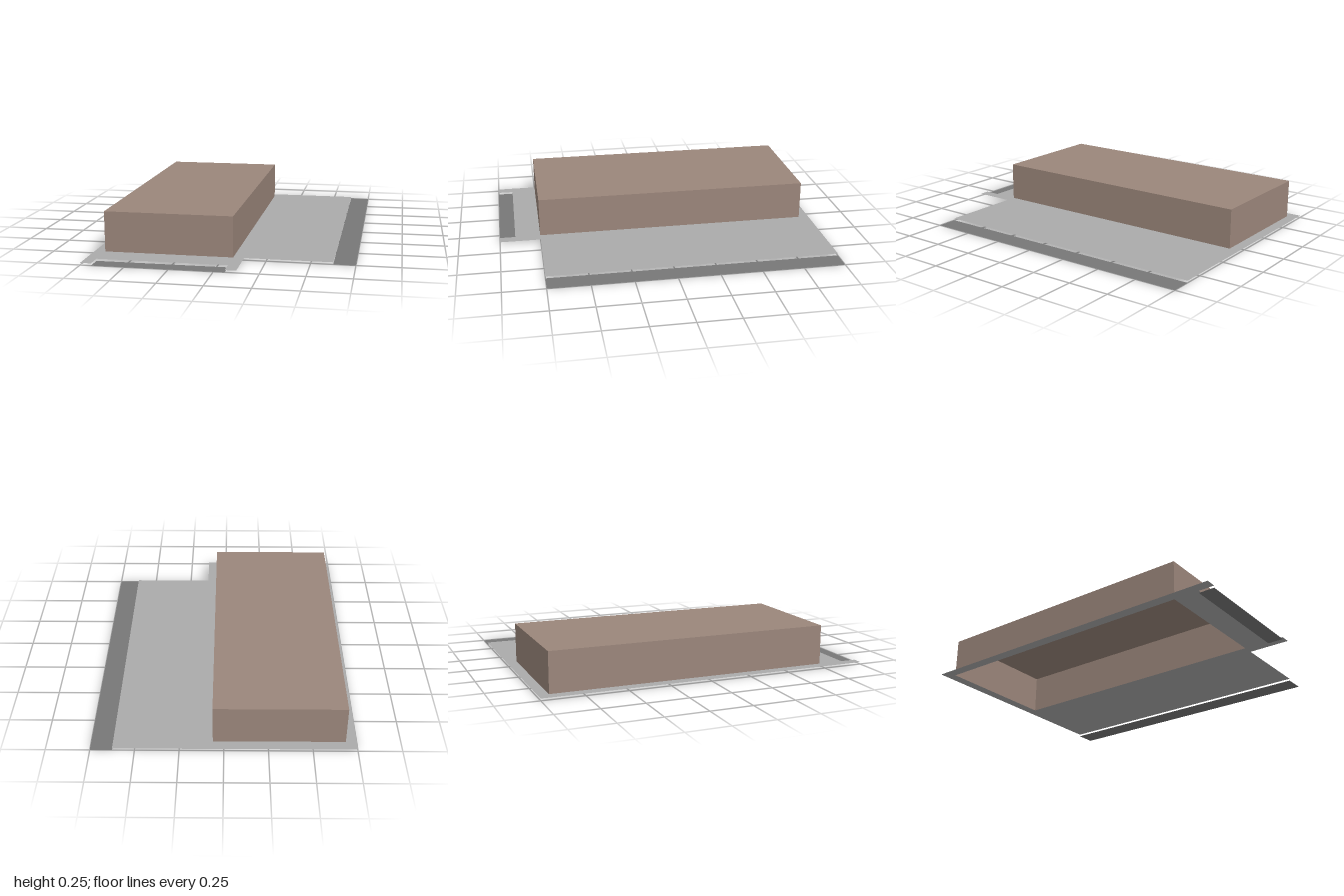
import * as THREE from 'three';

const SHEET_Y = 0.0125;
const BOX = { x0: -0.6875, x1: 0.0625, z0: -0.9375, z1: 0.75, top: 0.25 };

const material = (name, color) =>
  new THREE.MeshStandardMaterial({ name, color, side: THREE.DoubleSide });

export function createModel() {
  const group = new THREE.Group();
  const paving = material('light grey paving', 0xaaaaaa);
  const asphalt = material('dark grey strip', 0x777777);
  const wall = material('taupe building', 0x9b867b);

  const add = (name, geometry, mat) => {
    const mesh = new THREE.Mesh(geometry, mat);
    mesh.name = name;
    group.add(mesh);
    return mesh;
  };

  // Horizontal rectangle facing up
  const plate = (name, x0, x1, z0, z1, y, mat) => {
    const g = new THREE.PlaneGeometry(x1 - x0, z1 - z0).rotateX(-Math.PI / 2);
    add(name, g, mat).position.set((x0 + x1) / 2, y, (z0 + z1) / 2);
  };

  // Ground sheet: notched outline, open under the building (shape y is -z)
  const points = (list) => list.map(([x, z]) => new THREE.Vector2(x, -z));
  const outline = new THREE.Shape(points([
    [-0.75, -1], [-0.75, 1], [BOX.x0, 1], [BOX.x0, 0.905], [BOX.x1, 0.905],
    [BOX.x1, 1], [0.125, 1], [0.125, 0.75], [0.625, 0.75], [0.625, -1],
  ]));
  outline.holes.push(new THREE.Path(points([
    [BOX.x0, BOX.z0], [BOX.x1, BOX.z0], [BOX.x1, BOX.z1], [BOX.x0, BOX.z1],
  ])));
  add('groundSheet', new THREE.ShapeGeometry(outline).rotateX(-Math.PI / 2), paving)
    .position.y = SHEET_Y;

  // Lower strips along the left side and the front
  plate('sideStrip', 0.625, 0.75, -1, 0.75, 0, asphalt);
  plate('frontStrip', BOX.x0, BOX.x1, 0.905, 1, 0, asphalt);

  // Building shell: roof and four walls, open underneath
  const w = BOX.x1 - BOX.x0, d = BOX.z1 - BOX.z0, h = BOX.top - SHEET_Y;
  const cx = (BOX.x0 + BOX.x1) / 2, cz = (BOX.z0 + BOX.z1) / 2, cy = SHEET_Y + h / 2;
  plate('roof', BOX.x0, BOX.x1, BOX.z0, BOX.z1, BOX.top, wall);
  const sides = [
    ['frontWall', w, 0, cx, BOX.z1],
    ['leftWall', d, Math.PI / 2, BOX.x1, cz],
    ['backWall', w, Math.PI, cx, BOX.z0],
    ['rightWall', d, -Math.PI / 2, BOX.x0, cz],
  ];
  for (const [name, length, turn, x, z] of sides) {
    const mesh = add(name, new THREE.PlaneGeometry(length, h), wall);
    mesh.rotation.y = turn;
    mesh.position.set(x, cy, z);
  }
  return group;
}
